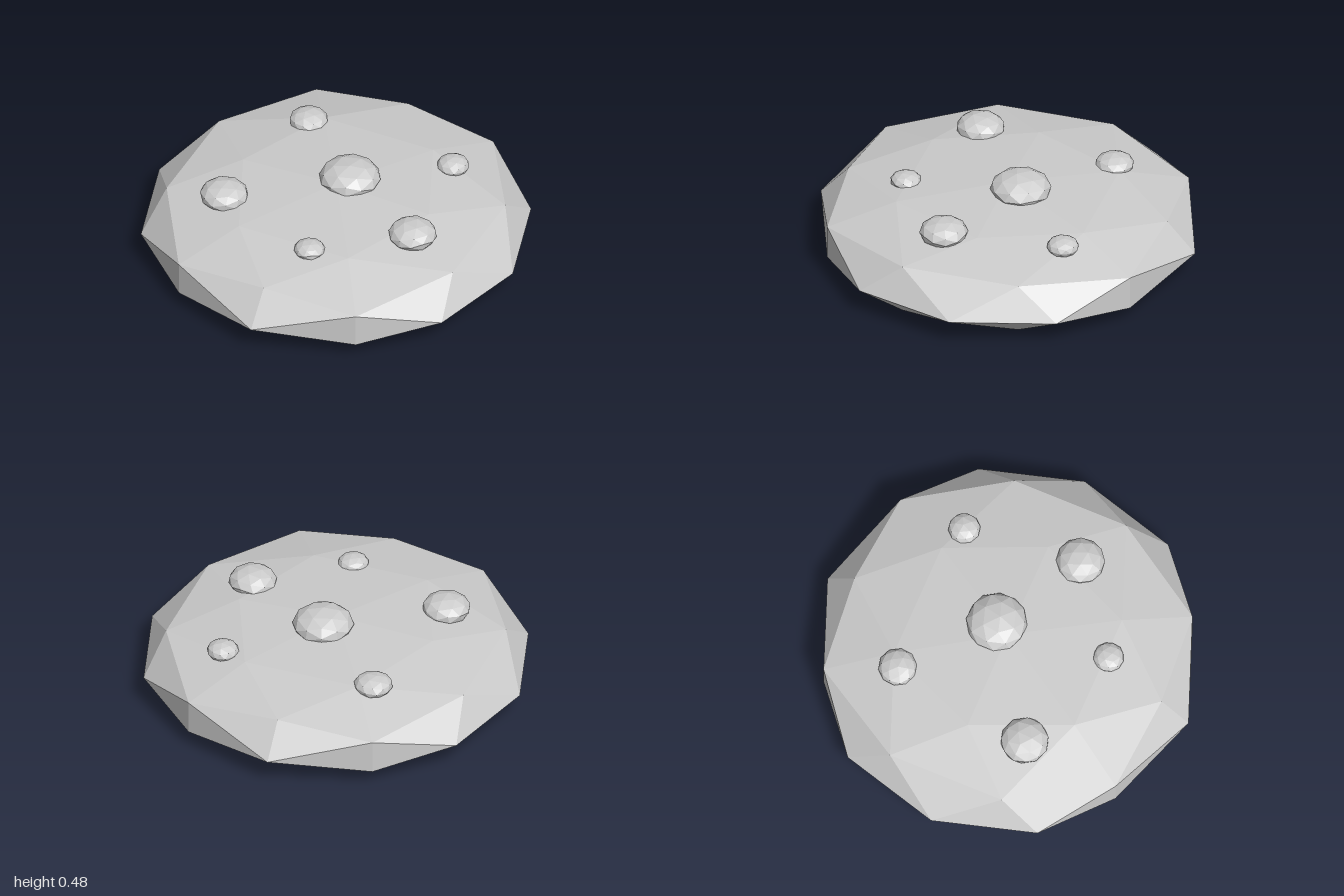
import * as THREE from 'three';

const material = new THREE.MeshStandardMaterial({ color: 0xcccccc, flatShading: true });

// Height of a body vertex from its height on the unit sphere
function bodyHeight(y) {
  if (Math.abs(y) < 0.001) return 0.148;           // rim
  if (y > 0) return 0.148 + 0.247 * Math.pow(y, 0.62); // domed top
  if (y < -0.99) return 0;                         // lowest point
  return 0.148 + 0.2 * Math.max(y, -0.53);         // flattened underside
}

function createBody() {
  const geometry = new THREE.IcosahedronGeometry(1, 1);
  const p = geometry.attributes.position;
  for (let i = 0; i < p.count; i++) p.setY(i, bodyHeight(p.getY(i)));
  geometry.computeVertexNormals();
  const body = new THREE.Mesh(geometry, material);
  body.name = 'capBody';
  return body;
}

// Flattened faceted bump, turned before it is squashed
function createBump(x, y, z, radius, height, turn) {
  const geometry = new THREE.IcosahedronGeometry(1, 1);
  geometry.rotateX(turn * 0.4);
  geometry.rotateY(turn);
  geometry.scale(radius, height, radius);
  geometry.computeVertexNormals();
  const bump = new THREE.Mesh(geometry, material);
  bump.position.set(x, y, z);
  return bump;
}

export function createModel() {
  const model = new THREE.Group();
  model.name = 'spottedCap';
  model.add(createBody());

  // x, y, z, radius, vertical radius, turn
  const bumps = [
    [0.04, 0.395, -0.08, 0.158, 0.085, 0.3],
    [0.52, 0.372, 0.18, 0.125, 0.068, 0.9],
    [-0.488, 0.372, 0.3, 0.125, 0.068, 1.5],
    [-0.372, 0.364, -0.453, 0.1, 0.052, 2.1],
    [0.453, 0.362, -0.435, 0.083, 0.046, 2.7],
    [0.098, 0.364, 0.515, 0.08, 0.043, 0.6],
  ];
  bumps.forEach((b, i) => {
    const bump = createBump(...b);
    bump.name = `spot${i + 1}`;
    model.add(bump);
  });
  return model;
}
